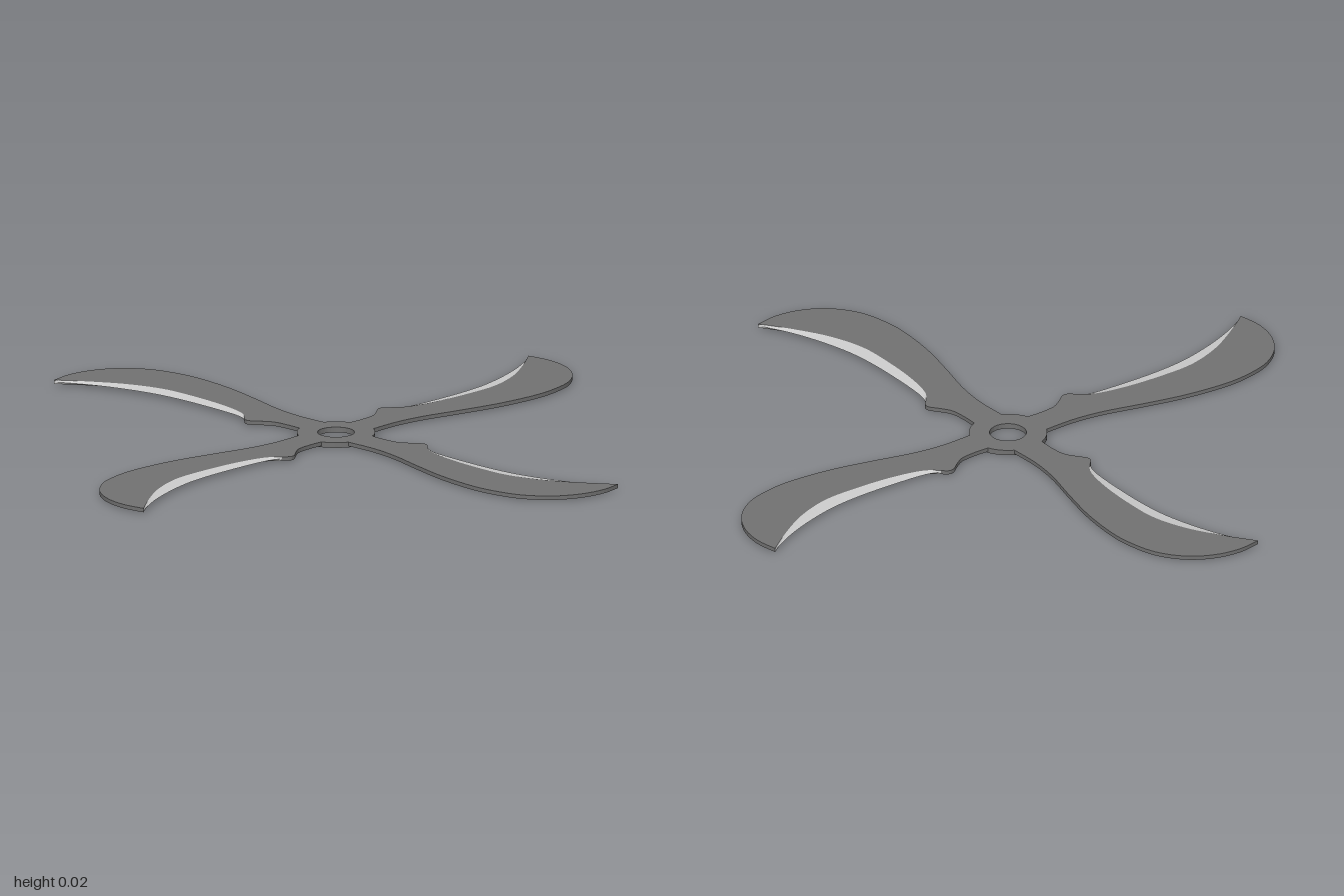
import * as THREE from 'three';
import { toCreasedNormals } from 'three/addons/utils/BufferGeometryUtils.js';

const TOP = 0.016, BOTTOM = 0.004, MID = (TOP + BOTTOM) / 2;
const HUB_R = 0.115, HOLE_R = 0.054, STEPS = 40;

// Smooth curve through a few (x, z) points
const spline = (points, n) =>
  new THREE.SplineCurve(points.map(([x, z]) => new THREE.Vector2(x, z))).getPoints(n);

// Neck and the small spur in front of the cutting edge
const neck = spline([[0.108, -0.04], [0.15, -0.037], [0.205, -0.04], [0.24, -0.058], [0.27, -0.078],
  [0.29, -0.077], [0.305, -0.062]], 30);
// Line where the flat blade meets its bevel, from spur to tip
const ridge = spline([[0.305, -0.062], [0.35, -0.028], [0.45, -0.003], [0.58, 0.01], [0.69, 0.009],
  [0.8, -0.022], [0.9, -0.074], [0.993, -0.134]], STEPS);
// Sharp concave edge, from spur to tip
const edge = spline([[0.305, -0.062], [0.35, -0.045], [0.45, -0.034], [0.58, -0.028], [0.69, -0.034],
  [0.8, -0.057], [0.9, -0.09], [0.993, -0.134]], STEPS);
// Rounded end and convex back, from tip to hub
const back = spline([[0.993, -0.134], [1, -0.06], [0.982, 0.02], [0.935, 0.092], [0.86, 0.143], [0.77, 0.164],
  [0.68, 0.166], [0.55, 0.147], [0.42, 0.112], [0.3, 0.076], [0.2, 0.059], [0.1, 0.057]], 60);
// Hub rim up to the next blade
const rim = [];
for (let i = 1; i < 8; i++) {
  const a = THREE.MathUtils.degToRad(30 + (i / 8) * 39.5);
  rim.push(new THREE.Vector2(HUB_R * Math.cos(a), HUB_R * Math.sin(a)));
}

// Extrudes a shape drawn in (x, z) downwards from the given height
function plate(shape, top, depth) {
  const geo = new THREE.ExtrudeGeometry(shape, { depth, bevelEnabled: false, curveSegments: 48 });
  geo.rotateX(Math.PI / 2).translate(0, top, 0);
  return toCreasedNormals(geo, 0.6);
}

function addHole(shape) {
  shape.holes.push(new THREE.Path().absarc(0, 0, HOLE_R, 0, Math.PI * 2, true));
  return shape;
}

// Upper and lower slopes running from the ridge lines to the sharp edge
function bevelGeometry() {
  const pos = [];
  const quad = (a, b, c, d) => pos.push(...a, ...b, ...c, ...a, ...c, ...d);
  const at = (p, y) => [p.x, y, p.y];
  for (let i = 0; i < STEPS; i++) {
    const [r0, r1, e0, e1] = [ridge[i], ridge[i + 1], edge[i], edge[i + 1]];
    quad(at(r0, TOP), at(r1, TOP), at(e1, MID), at(e0, MID));
    quad(at(e0, MID), at(e1, MID), at(r1, BOTTOM), at(r0, BOTTOM));
  }
  const geo = new THREE.BufferGeometry();
  geo.setAttribute('position', new THREE.Float32BufferAttribute(pos, 3));
  geo.computeVertexNormals();
  return geo;
}

export function createModel() {
  const group = new THREE.Group();
  group.name = 'fourBladedStar';
  const dark = new THREE.MeshStandardMaterial({ color: 0x727272 });
  const light = new THREE.MeshStandardMaterial({ color: 0xcccccc, side: THREE.DoubleSide });
  const add = (name, geo, mat) => {
    const mesh = new THREE.Mesh(geo, mat);
    mesh.name = name;
    group.add(mesh);
    return mesh;
  };

  // One flat plate: the blade outline repeated every quarter turn
  const quarter = [...neck, ...ridge.slice(1), ...back.slice(1), ...rim];
  const origin = new THREE.Vector2();
  const outline = [];
  for (let k = 0; k < 4; k++)
    quarter.forEach((p) => outline.push(p.clone().rotateAround(origin, (k * Math.PI) / 2)));
  add('bladePlate', plate(addHole(new THREE.Shape(outline)), TOP, TOP - BOTTOM), dark);

  // Slightly raised ring under the centre
  const ring = addHole(new THREE.Shape().absarc(0, 0, HUB_R, 0, Math.PI * 2, false));
  add('hubRing', plate(ring, BOTTOM, BOTTOM), dark);

  // Ground cutting edges
  const bevel = bevelGeometry();
  for (let k = 0; k < 4; k++) add(`cuttingEdge${k + 1}`, bevel, light).rotation.y = (-k * Math.PI) / 2;

  return group;
}
